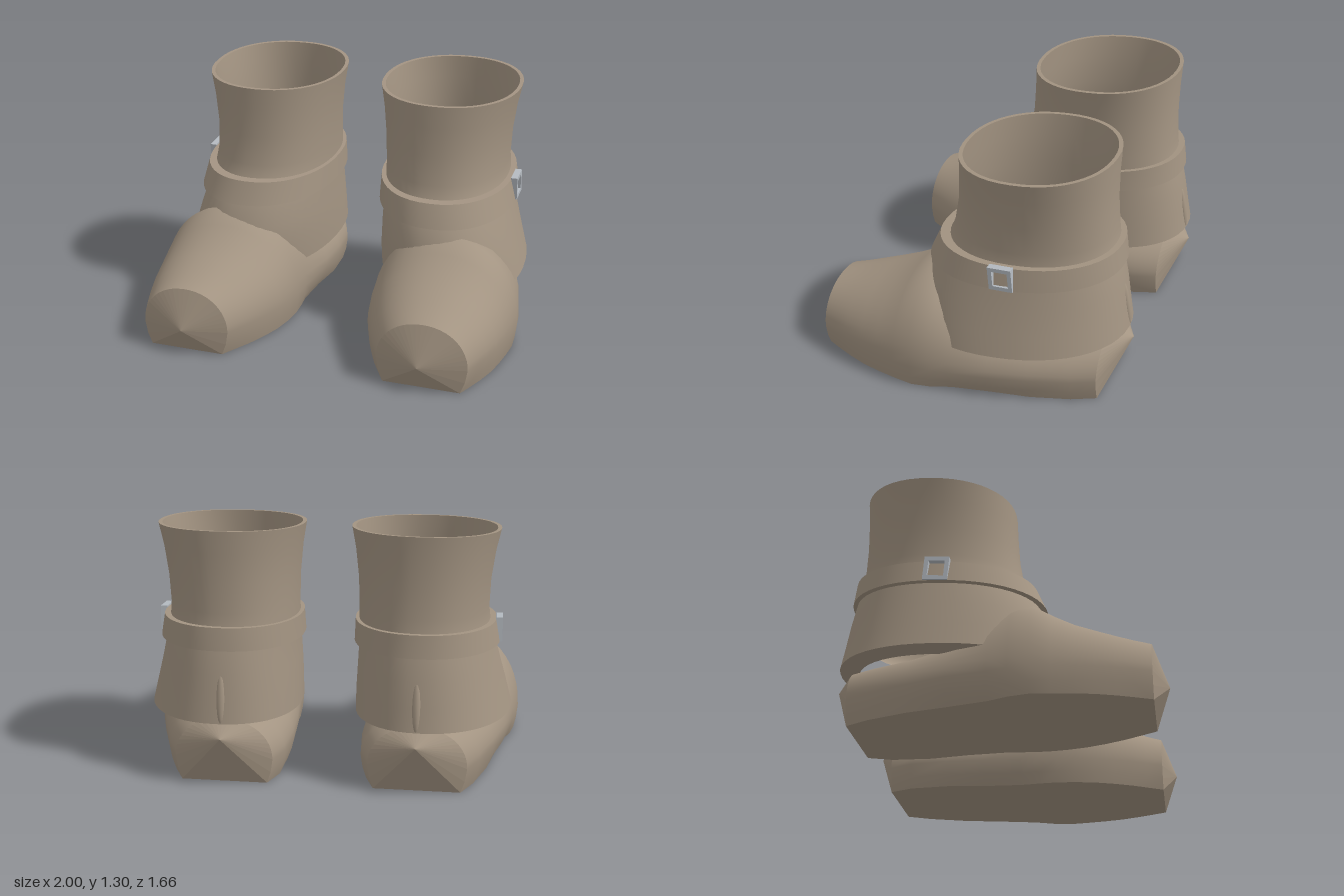
import * as THREE from 'three';
import { mergeGeometries } from 'three/addons/utils/BufferGeometryUtils.js';

const SLOPE = -0.083; // rim, strap and shaft edge all rise towards the heel

// Skin a list of equally long point rows
function loft(rows, closed) {
  const n = rows[0].length, index = [];
  const last = closed ? n : n - 1;
  for (let i = 0; i < rows.length - 1; i++) {
    for (let j = 0; j < last; j++) {
      const a = i * n + j, b = i * n + (j + 1) % n;
      index.push(a, a + n, b + n, a, b + n, b);
    }
  }
  const g = new THREE.BufferGeometry();
  g.setAttribute('position', new THREE.Float32BufferAttribute(rows.flat(2), 3));
  g.setIndex(index);
  g.computeVertexNormals();
  return g;
}

// Same skin with a sharp edge at every row
function creasedLoft(rows) {
  return mergeGeometries(rows.slice(1).map((row, i) => loft([rows[i], row], true)));
}

function faceted(g) {
  const flat = g.toNonIndexed();
  flat.computeVertexNormals();
  return flat;
}

// Tilted oval ring around the leg
function ring([y, xi, xo, zf, zb], inset = 0) {
  const cx = (xi + xo) / 2, cz = (zf + zb) / 2;
  const rx = (xo - xi) / 2 - inset, rz = (zf - zb) / 2 - inset;
  const skew = 0.08 * THREE.MathUtils.clamp((1 - y) / 0.7, 0, 1);
  const pts = [];
  for (let j = 0; j < 48; j++) {
    const a = j / 48 * Math.PI * 2, c = Math.cos(a), s = Math.sin(a);
    const px = rx * Math.sign(c) * Math.abs(c) ** 0.92;
    const pz = rz * Math.sign(s) * Math.abs(s) ** 0.92;
    pts.push([cx + px + skew * pz, y + SLOPE * (pz + cz + 0.27), cz + pz]);
  }
  return pts;
}

// Arched foot section with a flat underside
function section([z, xi, xo, h, tuck]) {
  const cx = (xi + xo) / 2, rx = (xo - xi) / 2, wide = 0.13;
  const pts = [[xi + tuck, 0, z], [xi + tuck * 0.35, 0.06, z]];
  for (let j = 0; j <= 24; j++) {
    const a = Math.PI * (1 - j / 24), c = Math.cos(a);
    pts.push([cx + rx * Math.sign(c) * Math.abs(c) ** 0.95, wide + (h - wide) * Math.sin(a) ** 0.95, z]);
  }
  pts.push([xo - tuck * 0.35, 0.06, z], [xo - tuck, 0, z]);
  return pts;
}

function mirrored(geometry) {
  const g = geometry.clone().applyMatrix4(new THREE.Matrix4().makeScale(-1, 1, 1));
  const idx = g.index ? Array.from(g.index.array) : [...Array(g.attributes.position.count).keys()];
  for (let i = 0; i < idx.length; i += 3) [idx[i], idx[i + 1]] = [idx[i + 1], idx[i]];
  g.setIndex(idx);
  return g;
}

export function createModel() {
  const leather = new THREE.MeshStandardMaterial({ color: 0xa39482 });
  leather.name = 'taupe leather';
  const metal = new THREE.MeshStandardMaterial({ color: 0xb4bac0 });
  metal.name = 'silver metal';

  // Foot, heel to toe: z, inner x, outer x, height, underside tuck
  const foot = [
    [-0.72, 0.24, 0.74, 0.34, 0.03],
    [-0.60, 0.195, 0.80, 0.35, 0.03],
    [-0.40, 0.18, 0.87, 0.36, 0.035],
    [-0.20, 0.185, 0.93, 0.40, 0.055],
    [0.00, 0.20, 0.97, 0.52, 0.05],
    [0.10, 0.21, 0.99, 0.57, 0.03],
    [0.20, 0.215, 1.00, 0.585, 0.02],
    [0.30, 0.225, 0.99, 0.52, 0.02],
    [0.40, 0.245, 0.975, 0.465, 0.02],
    [0.50, 0.28, 0.955, 0.425, 0.02],
    [0.60, 0.32, 0.927, 0.39, 0.025],
    [0.68, 0.36, 0.90, 0.365, 0.03],
    [0.76, 0.40, 0.87, 0.345, 0.035],
  ].map(section);
  const toeTip = foot[0].map(() => [0.63, 0.14, 0.835]);
  const heelTip = foot[0].map(() => [0.485, 0.27, -0.83]);

  // Shaft, bottom to top: y, inner x, outer x, front z, back z
  const shaft = [
    [0.30, 0.15, 0.95, 0.30, -0.81],
    [0.42, 0.15, 0.92, 0.30, -0.79],
    [0.55, 0.155, 0.885, 0.27, -0.77],
    [0.67, 0.16, 0.855, 0.215, -0.745],
    [0.77, 0.16, 0.83, 0.15, -0.72],
    [0.85, 0.16, 0.82, 0.12, -0.71],
    [1.00, 0.155, 0.825, 0.095, -0.70],
    [1.15, 0.14, 0.845, 0.085, -0.70],
    [1.265, 0.12, 0.87, 0.08, -0.705],
  ];
  const top = shaft[shaft.length - 1];
  const lining = shaft.slice(2).reverse().map((r) => ring(r, 0.02));
  lining.push(ring([0.46, 0.24, 0.82, 0.16, -0.68]), ring([0.42, 0.52, 0.54, -0.25, -0.27]));

  // Strap around the ankle
  const strapLow = [0.67, 0.135, 0.885, 0.245, -0.765];
  const strapHigh = [0.787, 0.14, 0.86, 0.195, -0.75];
  const strap = [ring(strapLow, 0.04), ring(strapLow), ring(strapHigh), ring(strapHigh, 0.05)];

  // Square buckle frame
  const square = (Type, h) => new Type([[-h, -h], [h, -h], [h, h], [-h, h]].map(([x, y]) => new THREE.Vector2(x, y)));
  const frame = square(THREE.Shape, 0.062);
  frame.holes.push(square(THREE.Path, 0.041));
  const buckle = new THREE.ExtrudeGeometry(frame, { depth: 0.035, bevelEnabled: false });
  buckle.rotateY(Math.PI / 2).rotateX(-SLOPE).translate(0.857, 0.733, -0.265);

  // Raised seam up the back of the heel
  const seam = new THREE.SphereGeometry(1, 10, 10).scale(0.022, 0.13, 0.018);
  seam.rotateX(0.17).translate(0.485, 0.47, -0.782);

  const parts = [
    ['foot', loft(foot, false), leather],
    ['sole', loft(foot.map((s) => [s[s.length - 1], s[0]]), false), leather],
    ['toeCap', faceted(loft([foot[foot.length - 1], toeTip], true)), leather],
    ['heelCap', faceted(loft([heelTip, foot[0]], true)), leather],
    ['shaft', loft(shaft.map((r) => ring(r)), true), leather],
    ['shaftLowerEdge', loft([ring([0.29, 0.15, 0.95, 0.30, -0.81], 0.1), ring(shaft[0])], true), leather],
    ['rim', loft([ring(top), ring(top, 0.02)], true), leather],
    ['lining', loft(lining, true), leather],
    ['strap', creasedLoft(strap), leather],
    ['heelSeam', seam, leather],
    ['buckle', buckle, metal],
  ];

  const model = new THREE.Group();
  model.name = 'ankleBoots';
  for (const side of ['left', 'right']) {
    const boot = new THREE.Group();
    boot.name = side + 'Boot';
    for (const [name, geometry, material] of parts) {
      const mesh = new THREE.Mesh(side === 'left' ? geometry : mirrored(geometry), material);
      mesh.name = name;
      boot.add(mesh);
    }
    model.add(boot);
  }
  return model;
}
